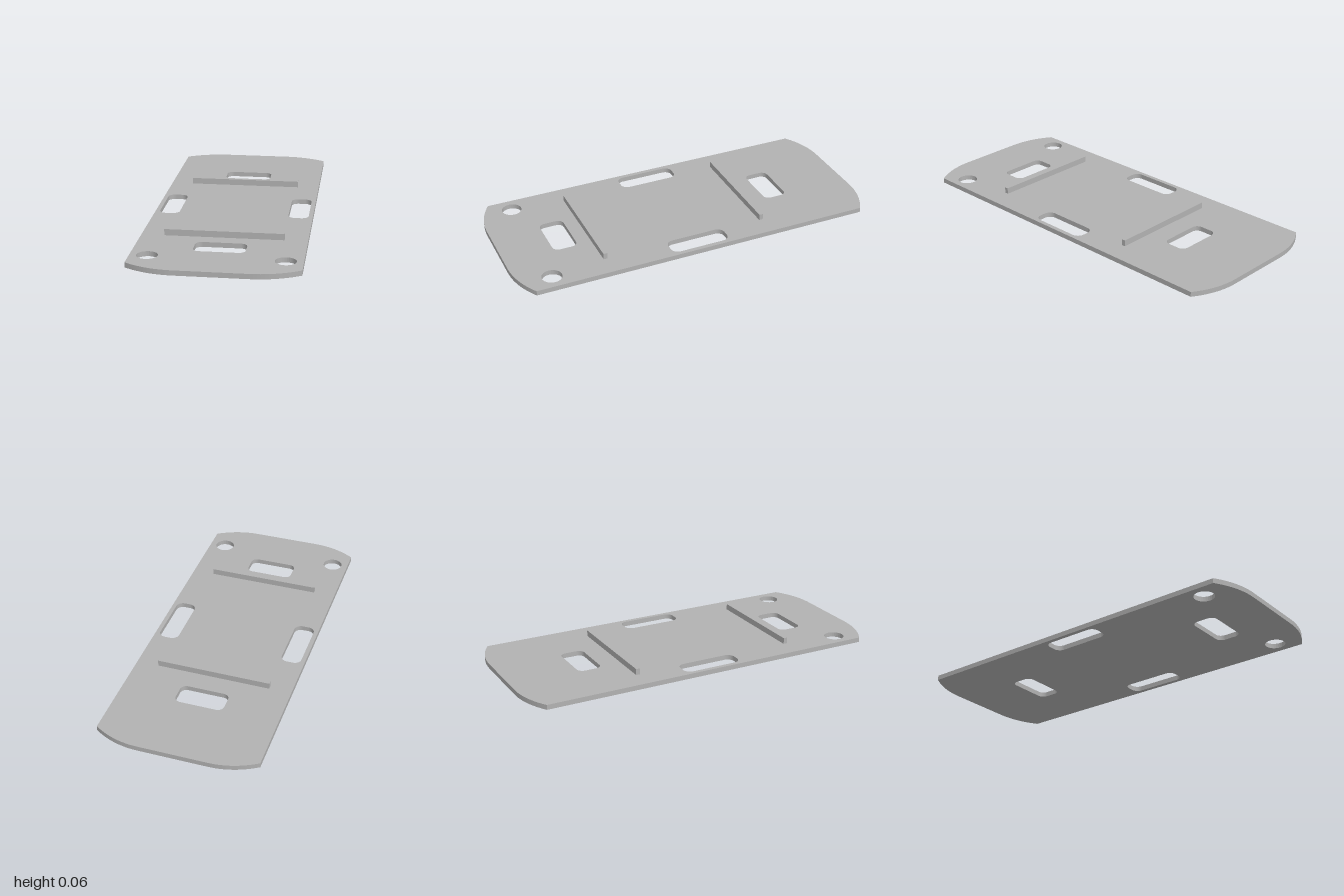
import * as THREE from 'three';

const THICKNESS = 0.026;

// Rounded slot outline from plan bounds (shape y is -z)
function slot(x0, x1, z0, z1, r) {
  const p = new THREE.Path();
  const y0 = -z1, y1 = -z0;
  p.moveTo(x0 + r, y0);
  p.lineTo(x1 - r, y0);
  p.absarc(x1 - r, y0 + r, r, -Math.PI / 2, 0);
  p.lineTo(x1, y1 - r);
  p.absarc(x1 - r, y1 - r, r, 0, Math.PI / 2);
  p.lineTo(x0 + r, y1);
  p.absarc(x0 + r, y1 - r, r, Math.PI / 2, Math.PI);
  p.lineTo(x0, y0 + r);
  p.absarc(x0 + r, y0 + r, r, Math.PI, Math.PI * 1.5);
  return p;
}

export function createModel() {
  const group = new THREE.Group();
  const grey = new THREE.MeshStandardMaterial({ color: 0xb2b2b2 });
  grey.name = 'plate grey';

  // Plate outline: straight sides, ends bowed at the corners
  const w = 0.423, corner = 0.925, flat = 0.18, ctrl = 0.31;
  const outline = new THREE.Shape();
  outline.moveTo(w, -corner);
  outline.lineTo(w, corner);
  outline.quadraticCurveTo(ctrl, 1, flat, 1);
  outline.lineTo(-flat, 1);
  outline.quadraticCurveTo(-ctrl, 1, -w, corner);
  outline.lineTo(-w, -corner);
  outline.quadraticCurveTo(-ctrl, -1, -flat, -1);
  outline.lineTo(flat, -1);
  outline.quadraticCurveTo(ctrl, -1, w, -corner);

  // End slots, side slots and the two round front holes
  outline.holes.push(slot(-0.13, 0.13, -0.627, -0.498, 0.034));
  outline.holes.push(slot(-0.13, 0.13, 0.602, 0.733, 0.034));
  for (const s of [-1, 1]) {
    const cx = s * 0.346;
    outline.holes.push(slot(cx - 0.054, cx + 0.054, -0.145, 0.178, 0.038));
    const hole = new THREE.Path();
    hole.absarc(s * 0.336, -0.816, 0.053, 0, Math.PI * 2);
    outline.holes.push(hole);
  }

  const plateGeo = new THREE.ExtrudeGeometry(outline, { depth: THICKNESS, bevelEnabled: false, curveSegments: 14 });
  plateGeo.rotateX(-Math.PI / 2);
  const plate = new THREE.Mesh(plateGeo, grey);
  plate.name = 'basePlate';
  group.add(plate);

  // Raised cross ribs
  const ribHeight = 0.033;
  const ribGeo = new THREE.BoxGeometry(0.61, ribHeight, 0.021);
  for (const [name, z] of [['frontRib', 0.517], ['backRib', -0.377]]) {
    const rib = new THREE.Mesh(ribGeo, grey);
    rib.name = name;
    rib.position.set(0, THICKNESS + ribHeight / 2, z);
    group.add(rib);
  }
  return group;
}
